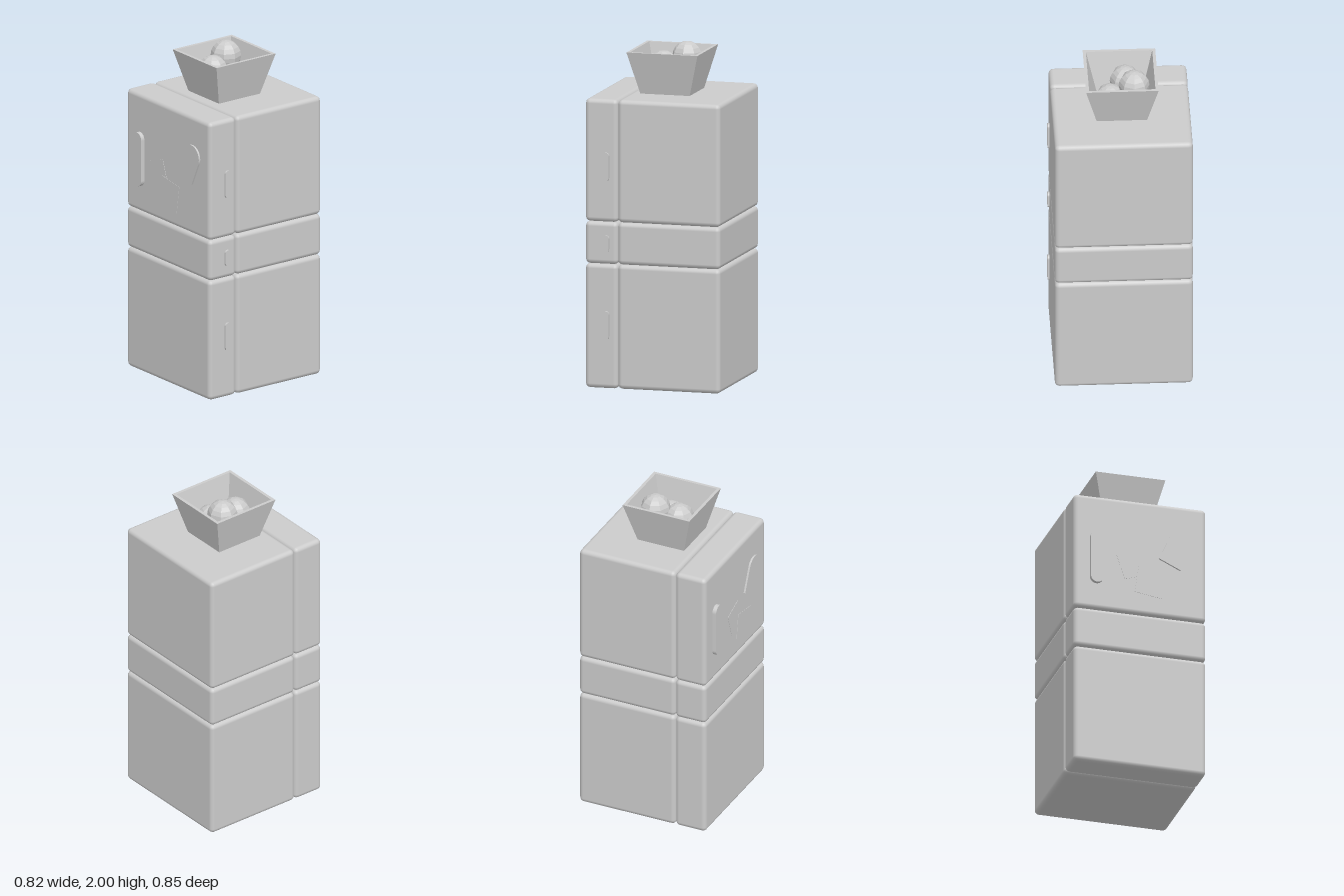
import * as THREE from 'three';
import { RoundedBoxGeometry } from 'three/addons/geometries/RoundedBoxGeometry.js';

const smooth = new THREE.MeshStandardMaterial({ color: 0xcccccc });
const flat = new THREE.MeshStandardMaterial({ color: 0xcccccc, flatShading: true });

export function createModel() {
  const group = new THREE.Group();
  const add = (name, geometry, x, y, z, material = smooth) => {
    const mesh = new THREE.Mesh(geometry, material);
    mesh.name = name;
    mesh.position.set(x, y, z);
    group.add(mesh);
    return mesh;
  };
  const extrude = (shape, depth) =>
    new THREE.ExtrudeGeometry(shape, { depth, bevelEnabled: false, curveSegments: 12 });

  // Upright slot with round ends
  const slot = (w, h, depth) => {
    const r = w / 2, s = h / 2 - r;
    const shape = new THREE.Shape();
    shape.absarc(0, s, r, 0, Math.PI);
    shape.absarc(0, -s, r, Math.PI, Math.PI * 2);
    shape.closePath();
    return extrude(shape, depth);
  };

  // Three stacked sections, each a cabinet block with a door in front and a side grip
  const sections = [
    ['lower', 0, 0.737, 0.375, 0.17],
    ['middle', 0.737, 0.987, 0.86, 0.1],
    ['upper', 0.987, 1.714, 1.315, 0.17],
  ];
  for (const [name, y0, y1, gripY, gripH] of sections) {
    const block = (part, z0, z1) => add(name + part,
      new RoundedBoxGeometry(0.807, y1 - y0, z1 - z0, 2, 0.027), -0.007, (y0 + y1) / 2, (z0 + z1) / 2);
    block('Cabinet', -0.425, 0.198);
    block('Door', 0.198, 0.396);
    add(name + 'Grip', slot(0.039, gripH, 0.025), 0.383, gripY, 0.267).rotation.y = Math.PI / 2;
  }

  // Front handle
  add('frontHandle', slot(0.08, 0.33, 0.034), -0.275, 1.315, 0.386);

  // Arched magnet
  const arch = new THREE.Shape();
  arch.moveTo(-0.072, 0);
  arch.lineTo(0.072, 0);
  arch.lineTo(0.072, 0.154);
  arch.absarc(0, 0.154, 0.072, 0, Math.PI);
  arch.closePath();
  add('archedMagnet', extrude(arch, 0.012), 0.17, 1.327, 0.395).rotation.z = -0.43;

  // Two overlapping notes
  add('upperNote', new THREE.BoxGeometry(0.144, 0.158, 0.002), -0.066, 1.286, 0.4215).rotation.z = 0.33;
  add('lowerNote', new THREE.BoxGeometry(0.165, 0.172, 0.002), 0.045, 1.187, 0.4235).rotation.z = -0.15;

  // Square tapered basket with thin walls and a floor
  const profile = [[0, 1.71], [0.148, 1.71], [0.2145, 1.965], [0.196, 1.965], [0.137, 1.73], [0, 1.73]]
    .map(([half, y]) => new THREE.Vector2(half * Math.SQRT2, y));
  const basket = add('basket', new THREE.LatheGeometry(profile, 4, Math.PI / 4), -0.007, 0, -0.016, flat);
  basket.scale.set(0.99, 1, 1.01);

  // Fruit piled in the basket
  for (const [x, y, z] of [[-0.082, 1.91, -0.085], [0.057, 1.80, -0.06], [-0.036, 1.855, 0.046]]) {
    add('fruit', new THREE.SphereGeometry(0.09, 8, 10), x, y, z, flat);
  }
  return group;
}
